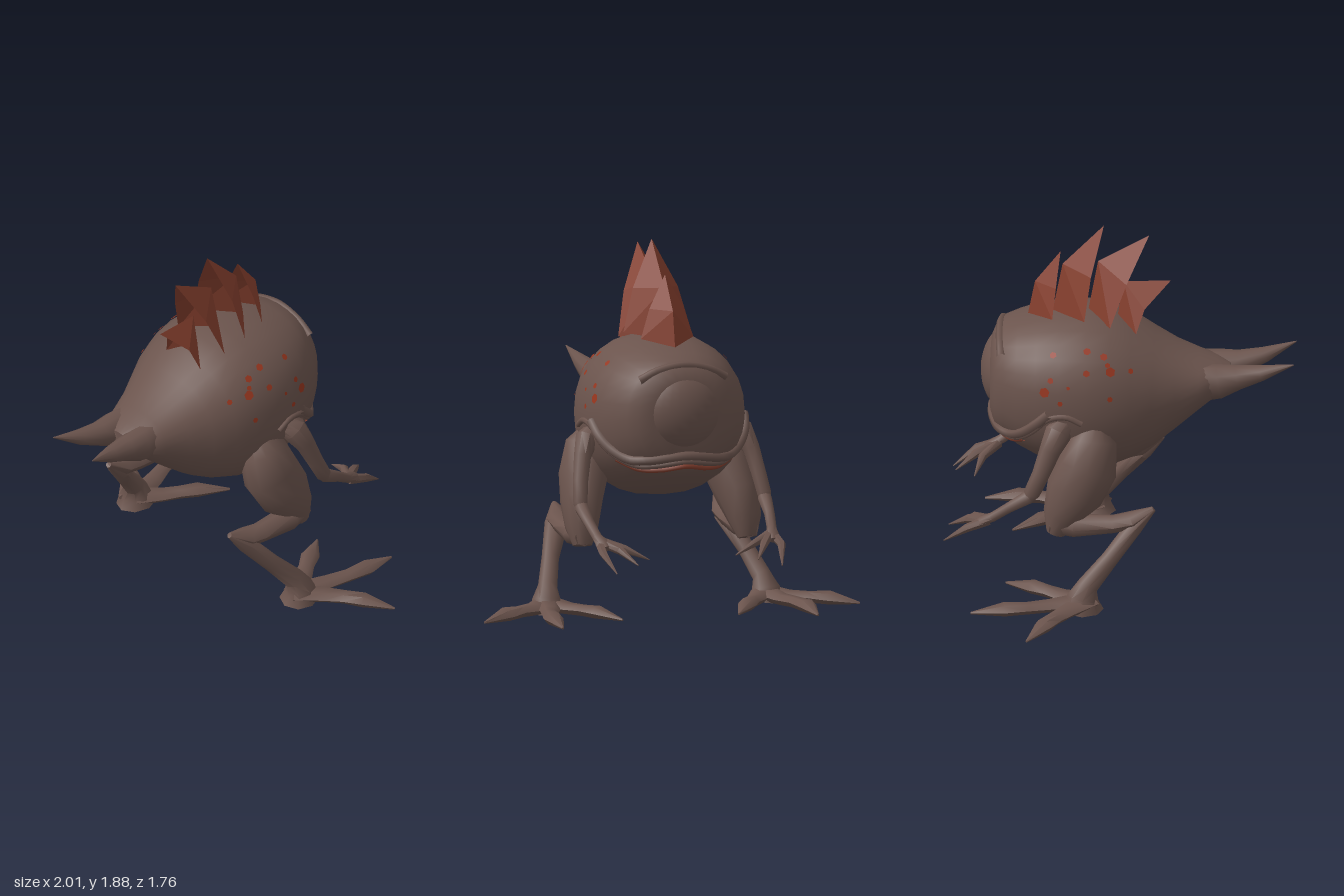
import * as THREE from 'three';
import { toCreasedNormals } from 'three/addons/utils/BufferGeometryUtils.js';

const V = (x, y, z) => new THREE.Vector3(x, y, z);
const mat = (name, color, side = THREE.FrontSide) => {
  const m = new THREE.MeshStandardMaterial({ color, side });
  m.name = name;
  return m;
};

// Closed skin over rings of points; side = -1 mirrors it across x
function skin(rings, side = 1) {
  const n = rings[0].length, pos = [], index = [];
  const put = p => pos.push(p.x * side, p.y, p.z);
  const tri = (a, b, c) => (side > 0 ? index.push(a, b, c) : index.push(a, c, b));
  rings.forEach(r => r.forEach(put));
  for (let i = 0; i < rings.length - 1; i++) {
    for (let j = 0; j < n; j++) {
      const a = i * n + j, b = i * n + (j + 1) % n;
      tri(a, b, a + n);
      tri(b, b + n, a + n);
    }
  }
  const last = (rings.length - 1) * n, centre = rings.length * n;
  [rings[0], rings[rings.length - 1]].forEach(r =>
    put(r.reduce((s, p) => s.add(p), V(0, 0, 0)).divideScalar(n)));
  for (let j = 0; j < n; j++) {
    tri(centre, (j + 1) % n, j);
    tri(centre + 1, last + j, last + (j + 1) % n);
  }
  const g = new THREE.BufferGeometry();
  g.setAttribute('position', new THREE.Float32BufferAttribute(pos, 3));
  g.setIndex(index);
  return toCreasedNormals(g, 0.95);
}

// Limb along stations [x, y, z, radius across, radius other way]
function limb(stations, side, sides = 8) {
  const p = stations.map(s => V(s[0], s[1], s[2]));
  const rings = stations.map(([, , , ra, rb = ra], i) => {
    const t = p[Math.min(i + 1, p.length - 1)].clone().sub(p[Math.max(i - 1, 0)]).normalize();
    const s = V(1, 0, 0).addScaledVector(t, -t.x).normalize();
    const u = t.clone().cross(s);
    return Array.from({ length: sides }, (_, j) => {
      const a = (j / sides) * Math.PI * 2;
      return p[i].clone().addScaledVector(s, ra * Math.cos(a)).addScaledVector(u, rb * Math.sin(a));
    });
  });
  return skin(rings, side);
}

// Body stations: z, top, bottom, half width
const BODY = [
  [-0.66, 1.24, 0.85, 0.18], [-0.635, 1.3, 0.78, 0.25], [-0.59, 1.335, 0.74, 0.295],
  [-0.52, 1.36, 0.69, 0.345], [-0.42, 1.39, 0.64, 0.39], [-0.3, 1.41, 0.6, 0.415],
  [-0.17, 1.415, 0.58, 0.42], [-0.05, 1.4, 0.59, 0.4], [0.06, 1.35, 0.635, 0.365],
  [0.17, 1.285, 0.7, 0.31], [0.28, 1.225, 0.79, 0.25], [0.4, 1.175, 0.895, 0.195],
  [0.48, 1.15, 0.965, 0.16], [0.55, 1.12, 1.03, 0.06],
];
const POWER = 2.25;

// Half width of the body surface at a given height and depth
function bodyX(y, z) {
  let i = 0;
  while (i < BODY.length - 2 && BODY[i + 1][0] < z) i++;
  const k = (z - BODY[i][0]) / (BODY[i + 1][0] - BODY[i][0]);
  const [, top, bot, w] = BODY[i].map((v, j) => v + (BODY[i + 1][j] - v) * k);
  const h = Math.min(1, Math.abs((y - (top + bot) / 2) / ((top - bot) / 2)));
  return w * Math.pow(1 - Math.pow(h, POWER), 1 / POWER);
}

function bodyGeometry() {
  const pw = v => Math.sign(v) * Math.pow(Math.abs(v), 2 / POWER);
  return skin(BODY.map(([z, top, bot, w]) => Array.from({ length: 28 }, (_, j) => {
    const a = (j / 28) * Math.PI * 2;
    return V(w * pw(Math.cos(a)), (top + bot) / 2 + ((top - bot) / 2) * pw(Math.sin(a)), z);
  })));
}

// Folded spine plate: ridge base, ridge middle, tip as [z, y]; outer middle, outer base as [z, y, x]
function finGeometry([r0, r1, tip, o1, o0]) {
  const pos = [];
  for (const s of [1, -1]) {
    const [a, b, c, d, e] = [r0, r1, tip, o1, o0].map(([z, y, x = 0]) => [x * s, y, z]);
    for (const t of [[a, b, e], [b, d, e], [b, c, d]]) {
      pos.push(...(s > 0 ? t : [t[0], t[2], t[1]]).flat());
    }
  }
  const g = new THREE.BufferGeometry();
  g.setAttribute('position', new THREE.Float32BufferAttribute(pos, 3));
  g.computeVertexNormals();
  return g;
}

export function createModel() {
  const model = new THREE.Group();
  model.name = 'creature';
  const hide = mat('brown hide', 0x6b544d);
  const finRed = mat('rust fin', 0x853f2e, THREE.DoubleSide);
  const spotRed = mat('red spot', 0x96361f);
  const dark = mat('dark mouth', 0x2e1f1c);
  const add = (name, geo, material = hide, parent = model) => {
    const m = new THREE.Mesh(geo, material);
    m.name = name;
    parent.add(m);
    return m;
  };

  add('body', bodyGeometry());

  // Single large domed eye on the face
  const eye = add('eye', new THREE.SphereGeometry(1, 28, 18));
  eye.scale.set(0.22, 0.215, 0.14);
  eye.position.set(0, 1.07, -0.575);

  // Brow fold over the eye
  const brow = [-1, -0.6, 0, 0.6, 1].map(t => V(0.23 * t, 1.31 - 0.07 * t * t, -0.615 + 0.015 * t * t));
  add('brow', new THREE.TubeGeometry(new THREE.CatmullRomCurve3(brow), 20, 0.022, 6));

  // Mouth: overhanging lip, dark gap and red lower edge
  const mouth = [[-0.18, 0.96], [-0.26, 0.995], [-0.35, 0.975], [-0.42, 0.905], [-0.48, 0.845], [-0.55, 0.8], [-0.61, 0.8]];
  const mouthTube = (from, dy, r, out) => {
    const half = mouth.slice(from).map(([z, y]) => V(bodyX(y + dy, z) + out, y + dy, z));
    const pts = [...half, V(0, 0.82 + dy, -0.655 - out), ...half.map(p => V(-p.x, p.y, p.z)).reverse()];
    return new THREE.TubeGeometry(new THREE.CatmullRomCurve3(pts), 60, r, 6);
  };
  add('upperLip', mouthTube(2, 0.03, 0.026, 0.002));
  add('mouthGap', mouthTube(0, 0, 0.016, 0));
  add('lowerLip', mouthTube(4, -0.022, 0.014, 0), finRed);

  // Spine plates from the tail end to the head end
  [
    [[-0.02, 1.38], [0.01, 1.57], [0.25, 1.58], [0.12, 1.45, 0.08], [0.08, 1.33, 0.12]],
    [[-0.17, 1.4], [-0.12, 1.68], [0.14, 1.83], [0.03, 1.6, 0.11], [-0.05, 1.38, 0.165]],
    [[-0.35, 1.4], [-0.3, 1.66], [-0.09, 1.88], [-0.15, 1.64, 0.12], [-0.18, 1.42, 0.18]],
    [[-0.475, 1.38], [-0.44, 1.56], [-0.31, 1.73], [-0.33, 1.56, 0.09], [-0.345, 1.41, 0.14]],
  ].forEach((f, i) => add('spineFin' + (i + 1), finGeometry(f), finRed));

  // Spots: z, y, radius
  const spots = [
    [0.06, 1.21, 0.015], [-0.04, 1.22, 0.026], [-0.04, 1.09, 0.015], [-0.075, 1.285, 0.02],
    [-0.055, 1.25, 0.014], [-0.16, 1.31, 0.02], [-0.16, 1.22, 0.018], [-0.33, 1.29, 0.018],
    [-0.34, 1.18, 0.016], [-0.37, 1.12, 0.027], [-0.29, 1.07, 0.014], [-0.25, 1.15, 0.01],
  ];
  // Toes and fingers as stations
  const toes = [
    [[0.58, 0.045, -0.16, 0.07, 0.04], [0.62, 0.034, -0.33, 0.05, 0.03], [0.655, 0.034, -0.44, 0.04, 0.03], [0.675, 0.034, -0.56, 0.052, 0.033], [0.68, 0.01, -0.73, 0.006]],
    [[0.57, 0.045, -0.14, 0.08, 0.04], [0.68, 0.034, -0.24, 0.06, 0.03], [0.77, 0.034, -0.3, 0.045, 0.03], [0.86, 0.034, -0.35, 0.055, 0.033], [1.0, 0.01, -0.43, 0.006]],
    [[0.58, 0.045, -0.15, 0.07, 0.04], [0.5, 0.034, -0.27, 0.05, 0.03], [0.45, 0.034, -0.35, 0.04, 0.03], [0.4, 0.034, -0.43, 0.048, 0.033], [0.31, 0.01, -0.57, 0.006]],
  ];
  const fingers = [
    [[0.46, 0.43, -0.65, 0.026], [0.475, 0.39, -0.76, 0.022], [0.44, 0.3, -0.88, 0.003]],
    [[0.45, 0.43, -0.65, 0.026], [0.385, 0.4, -0.76, 0.022], [0.32, 0.335, -0.86, 0.003]],
    [[0.45, 0.43, -0.65, 0.026], [0.35, 0.4, -0.725, 0.022], [0.23, 0.345, -0.76, 0.003]],
  ];

  for (const s of [1, -1]) {
    const side = new THREE.Group();
    side.name = s > 0 ? 'leftSide' : 'rightSide';
    model.add(side);
    const part = (name, stations, sides) => add(name, limb(stations, s, sides), hide, side);

    // Forked tail prong
    part('tailProng', [[0.09, 1.05, 0.38, 0.08, 0.1], [0.092, 1.065, 0.5, 0.08, 0.09], [0.092, 1.09, 0.6, 0.066, 0.062],
      [0.108, 1.125, 0.72, 0.045, 0.04], [0.14, 1.188, 0.88, 0.003]], 10);

    // Hind leg
    part('thigh', [[0.31, 0.92, -0.13, 0.07, 0.07], [0.35, 0.84, -0.13, 0.12, 0.125], [0.385, 0.7, -0.155, 0.125, 0.155],
      [0.415, 0.57, -0.22, 0.105, 0.15], [0.435, 0.45, -0.285, 0.085, 0.095], [0.44, 0.36, -0.31, 0.05, 0.05]], 12);
    part('shin', [[0.44, 0.41, -0.34, 0.05, 0.05], [0.445, 0.405, -0.22, 0.07, 0.06], [0.44, 0.415, -0.02, 0.06, 0.045],
      [0.44, 0.44, 0.08, 0.065, 0.045], [0.43, 0.5, 0.185, 0.015]]);
    part('lowerLeg', [[0.43, 0.5, 0.185, 0.015], [0.45, 0.41, 0.09, 0.06, 0.045], [0.52, 0.26, -0.03, 0.045],
      [0.57, 0.13, -0.14, 0.05, 0.055], [0.585, 0.07, -0.165, 0.075, 0.08], [0.58, 0.005, -0.165, 0.095, 0.105]]);
    toes.forEach((t, i) => part('toe' + (i + 1), t, 6));

    // Arm and hand
    part('upperArm', [[0.36, 0.94, -0.27, 0.05, 0.05], [0.415, 0.905, -0.3, 0.06, 0.07], [0.45, 0.82, -0.34, 0.045, 0.055],
      [0.475, 0.7, -0.385, 0.04, 0.045], [0.49, 0.6, -0.43, 0.038, 0.042], [0.49, 0.56, -0.45, 0.025]]);
    part('forearm', [[0.488, 0.61, -0.41, 0.025], [0.488, 0.575, -0.45, 0.037], [0.48, 0.51, -0.55, 0.028],
      [0.465, 0.45, -0.63, 0.026], [0.45, 0.42, -0.69, 0.04, 0.024], [0.445, 0.405, -0.72, 0.025, 0.015]]);
    fingers.forEach((f, i) => part('finger' + (i + 1), f, 6));

    // Painted spots lying on the body surface
    for (const [z, y, r] of spots) {
      const e = 0.02, x = bodyX(y, z);
      const n = V(1, (bodyX(y - e, z) - bodyX(y + e, z)) / (2 * e), (bodyX(y, z - e) - bodyX(y, z + e)) / (2 * e)).normalize();
      const p = V(x, y, z).addScaledVector(n, 0.006);
      n.x *= s;
      p.x *= s;
      const spot = add('spot', new THREE.CircleGeometry(r, 6), spotRed, side);
      spot.position.copy(p);
      spot.quaternion.setFromUnitVectors(V(0, 0, 1), n);
    }
  }
  return model;
}
